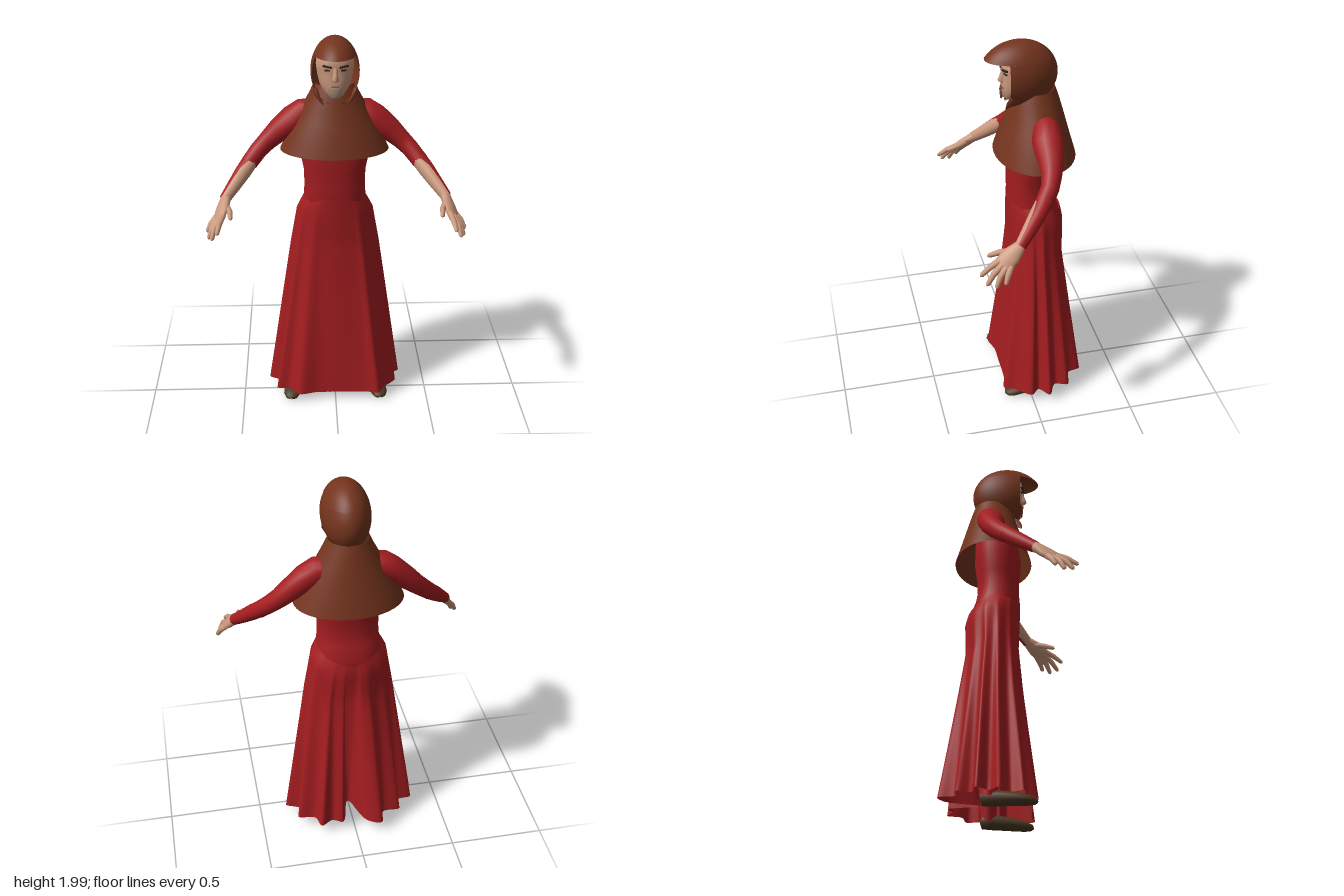
import * as THREE from 'three';

const V = (x, y, z) => new THREE.Vector3(x, y, z);
const TAU = Math.PI * 2;

// Skin a surface over rows of points; closed rows wrap round smoothly.
function loft(rows, closed = true) {
  const n = rows[0].length, pos = [], index = [];
  rows.forEach(row => row.forEach(p => pos.push(p.x, p.y, p.z)));
  for (let i = 0; i < rows.length - 1; i++) {
    for (let j = 0; j < (closed ? n : n - 1); j++) {
      const k = (j + 1) % n, a = i * n + j, b = i * n + k, c = b + n, d = a + n;
      index.push(a, b, c, a, c, d);
    }
  }
  const g = new THREE.BufferGeometry();
  g.setAttribute('position', new THREE.Float32BufferAttribute(pos, 3));
  g.setIndex(index);
  g.computeVertexNormals();
  return g;
}

// Horizontal rounded cross-section; angle 0 is the front, pi/2 is the left.
function ring(y, rx, zF, zB, { n = 32, pow = 2, a0 = 0, a1 = TAU } = {}) {
  const closed = a1 - a0 > TAU - 1e-6, c = (zF + zB) / 2, rz = (zF - zB) / 2;
  const e = v => Math.sign(v) * Math.abs(v) ** (2 / pow);
  return Array.from({ length: closed ? n : n + 1 }, (_, j) => {
    const a = a0 + (a1 - a0) * j / n;
    return V(rx * e(Math.sin(a)), y, c + rz * e(Math.cos(a)));
  });
}

// Tube along points; radii [u, v] measured from a reference direction.
function limb(points, radii, ref, { n = 16, from, to } = {}) {
  const rows = points.map((p, i) => {
    const T = points[Math.min(i + 1, points.length - 1)].clone().sub(points[Math.max(i - 1, 0)]).normalize();
    const U = ref.clone().addScaledVector(T, -ref.dot(T)).normalize();
    const W = T.clone().cross(U);
    const [ru, rv] = [].concat(radii[i], radii[i]);
    const a0 = from ? from[i] : 0, a1 = to ? to[i] : TAU;
    return Array.from({ length: from ? n + 1 : n }, (_, j) => {
      const a = a0 + (a1 - a0) * j / n;
      return p.clone().addScaledVector(U, ru * Math.cos(a)).addScaledVector(W, rv * Math.sin(a));
    });
  });
  return loft(rows, !from);
}

export function createModel() {
  const model = new THREE.Group();
  const material = (name, color, double) => {
    const m = new THREE.MeshStandardMaterial({ color });
    m.name = name;
    if (double) m.side = THREE.DoubleSide;
    return m;
  };
  const red = material('redCloth', 0xa41d20, true);
  const brown = material('brownCloth', 0x74341d, true);
  const skin = material('skin', 0xca987c, true);
  const leather = material('shoeLeather', 0x4a3822);
  const dark = material('darkHair', 0x33251e);
  const stubble = material('stubble', 0xac9482, true);
  const lips = material('lips', 0x8f5f50);
  const add = (name, geometry, mat, parent = model) => {
    const m = new THREE.Mesh(geometry, mat);
    m.name = name;
    parent.add(m);
    return m;
  };
  const sections = (rows, opt) => loft(rows.map(r => ring(...r, opt)));

  // Skirt: hem outline (x, z) with folds that fade out towards the waist
  const hem = [[0, .125], [.1, .125], [.17, .13], [.235, .145], [.265, .09], [.335, .01], [.3, -.035], [.36, -.085],
    [.285, -.13], [.305, -.2], [.215, -.225], [.19, -.297], [.125, -.265], [.07, -.29], [.015, -.13],
    [-.06, -.3], [-.14, -.333], [-.165, -.25], [-.26, -.24], [-.25, -.17], [-.345, -.15], [-.3, -.09],
    [-.362, -.04], [-.29, .01], [-.32, .075], [-.25, .085], [-.2, .145], [-.1, .125]];
  const outline = new THREE.CatmullRomCurve3(hem.map(([x, z]) => V(x, 0, z)), true, 'centripetal').getPoints(168).slice(0, -1);
  const folds = outline.map(p => {
    const u = p.x / .345, w = (p.z + .09) / .23;
    return [Math.atan2(u, w), Math.hypot(u, w)];
  });
  const profile = [[0, .165, .07, -.208], [.06, .2, .07, -.222], [.24, .233, .064, -.215],
    [.5, .272, .085, -.25], [1, .345, .14, -.32]];
  const skirtRows = [];
  for (let i = 20; i >= 0; i--) {
    const t = (i / 20) ** 1.2;
    const k = Math.max(1, profile.findIndex(p => p[0] >= t - 1e-9));
    const p = profile[k - 1], q = profile[k], f = (t - p[0]) / (q[0] - p[0]);
    const [rx, zF, zB] = [1, 2, 3].map(m => THREE.MathUtils.lerp(p[m], q[m], f));
    const c = (zF + zB) / 2, rz = (zF - zB) / 2;
    skirtRows.push(folds.map(([a, reach]) => {
      const r = THREE.MathUtils.lerp(1, reach, t ** .8), back = (1 - Math.cos(a)) / 2;
      const y = THREE.MathUtils.lerp(1.165 - .09 * back * back, .052 + .022 * back, t);
      return V(rx * r * Math.sin(a), y, c + rz * r * Math.cos(a));
    }));
  }
  add('skirt', loft(skirtRows), red);

  // Bodice
  add('bodice', sections([[1.04, .16, .045, -.18], [1.08, .175, .056, -.195], [1.16, .161, .066, -.166],
    [1.22, .157, .066, -.155], [1.3, .16, .066, -.158], [1.4, .18, .076, -.172],
    [1.52, .17, .06, -.17], [1.62, .12, .03, -.15], [1.68, .05, .01, -.1]], { pow: 2.3 }), red);

  // Shoulder cape
  add('cape', sections([[1.4, .28, .132, -.277], [1.48, .244, .109, -.254], [1.56, .202, .083, -.232],
    [1.63, .163, .058, -.213], [1.7, .125, .042, -.193], [1.75, .103, .02, -.176]], { n: 48 }), brown);

  // Hood: lower wall open at the face, brimmed dome above
  const hoodRing = (y, cut) => {
    const f = Math.sqrt(Math.max(1e-5, 1 - ((y - 1.83) / .17) ** 2)), c = .0075 * f, rz = .1945 * f;
    const a0 = cut === undefined ? 0 : Math.acos(THREE.MathUtils.clamp((cut - c) / rz, -1, .995));
    return ring(y, .122 * f, c + rz, c - rz, { n: 40, a0, a1: TAU - a0 });
  };
  const wall = [];
  for (let i = 0; i <= 12; i++) {
    const y = 1.675 + (1.915 - 1.675) * i / 12;
    wall.push(hoodRing(y, .07));
  }
  add('hoodWall', loft(wall, false), brown);
  const dome = [];
  for (let i = 0; i <= 10; i++) dome.push(hoodRing(1.83 + .17 * Math.sin(.5236 + 1.0472 * i / 10)));
  add('hoodDome', loft(dome), brown);

  // Collar lips below the chin
  for (const s of [1, -1]) {
    add('collarLip', limb([V(s * .1, 1.745, .05), V(s * .085, 1.71, .068), V(s * .06, 1.675, .082)],
      [[.012, .02], [.01, .018], [.003, .004]], V(s, 0, 0), { n: 8 }), brown);
  }

  // Head and face
  const head = new THREE.Group();
  head.name = 'head';
  model.add(head);
  add('face', sections([[1.64, .05, .02, -.09], [1.69, .048, .03, -.09], [1.702, .03, .074, -.08],
    [1.715, .046, .084, -.08], [1.74, .064, .087, -.09], [1.77, .079, .089, -.1], [1.81, .088, .087, -.1],
    [1.845, .093, .084, -.1], [1.865, .095, .09, -.1], [1.91, .09, .084, -.1], [1.95, .06, .05, -.08]],
  { pow: 2.2 }), skin, head);
  add('nose', sections([[1.789, .008, .086, .06], [1.794, .016, .102, .06], [1.803, .017, .111, .06],
    [1.825, .013, .102, .06], [1.862, .012, .091, .06]], { n: 16 }), skin, head);
  const beard = [[1.703, .031, .076, -.08], [1.715, .048, .086, -.08], [1.74, .066, .089, -.09], [1.755, .073, .09, -.095]];
  add('beard', loft(beard.map(r => ring(...r, { n: 12, pow: 2.2, a0: -.5, a1: .5 })), false), stubble, head);
  add('mouth', new THREE.BoxGeometry(.04, .006, .008), lips, head).position.set(0, 1.767, .087);
  for (const s of [1, -1]) {
    const brow = add('brow', new THREE.BoxGeometry(.046, .009, .009), dark, head);
    brow.position.set(s * .041, 1.867, .084);
    brow.rotation.set(0, s * .3, s * .15);
    const eye = add('eye', new THREE.BoxGeometry(.026, .008, .008), dark, head);
    eye.position.set(s * .039, 1.848, .079);
    eye.rotation.y = s * .3;
  }

  for (const s of [1, -1]) {
    const P = (x, y, z) => V(s * x, y, z);
    const side = new THREE.Group();
    side.name = s > 0 ? 'leftLimbs' : 'rightLimbs';
    model.add(side);
    const inward = P(-.5, -.1, .8);

    // Sleeve, then a forearm bare along its inner front
    add('sleeve', limb([P(.1, 1.6, -.09), P(.16, 1.59, -.093), P(.215, 1.552, -.087), P(.29, 1.49, -.085),
      P(.345, 1.44, -.075), P(.39, 1.398, -.055), P(.44, 1.342, -.01)],
    [[.055, .055], [.07, .068], [.077, .066], [.064, .058], [.05, .05], [.045, .046], [.043, .043]], inward), red, side);
    const path = [P(.425, 1.36, -.026), P(.47, 1.308, .025), P(.515, 1.255, .078), P(.56, 1.203, .132)];
    const radii = [.043, .041, .035, .028], open = [.7, 1.3, 1.45, 1.5];
    add('forearmSleeve', limb(path, radii, inward, { from: open, to: open.map(a => TAU - a) }), red, side);
    add('forearm', limb(path, radii, inward, { from: open.map(a => -a), to: open }), skin, side);

    // Hand with spread fingers
    const across = P(.5, -.3, -.75);
    add('palm', limb([P(.55, 1.215, .12), P(.558, 1.2, .138), P(.572, 1.168, .178), P(.586, 1.138, .215), P(.592, 1.126, .232)],
      [[.024, .024], [.032, .025], [.047, .023], [.046, .019], [.034, .01]], across), skin, side);
    const fingers = [
      ['thumb', [.556, 1.185, .165], [.532, 1.17, .225], [.526, 1.153, .285]],
      ['indexFinger', [.568, 1.152, .228], [.583, 1.127, .282], [.594, 1.09, .333]],
      ['middleFinger', [.585, 1.137, .224], [.609, 1.1, .272], [.622, 1.05, .308]],
      ['ringFinger', [.597, 1.128, .208], [.623, 1.092, .242], [.64, 1.04, .265]],
      ['littleFinger', [.602, 1.13, .186], [.63, 1.1, .205], [.65, 1.06, .222]],
    ];
    for (const [name, a, b, c] of fingers) {
      const A = P(...a), B = P(...b), C = P(...c);
      add(name, limb([A, B, B.clone().lerp(C, .85), C], [.017, .015, .011, .002], across, { n: 8 }), skin, side);
    }

    // Leg under the skirt and shoe
    add('leg', limb([P(.215, .05, -.09), P(.2, .3, -.09), P(.16, .6, -.07), P(.09, 1.05, -.07)],
      [.038, .055, .07, .085], V(0, 0, 1)), red, side);
    add('shoe', limb([P(.208, .044, -.132), P(.21, .045, -.122), P(.215, .046, -.08), P(.224, .044, -.02),
      P(.234, .038, .05), P(.24, .032, .1), P(.243, .026, .13), P(.244, .022, .142)],
    [[.004, .004], [.034, .03], [.038, .036], [.036, .038], [.03, .046], [.024, .044], [.016, .03], [.003, .004]],
    V(0, 1, 0)), leather, side);
  }
  return model;
}
